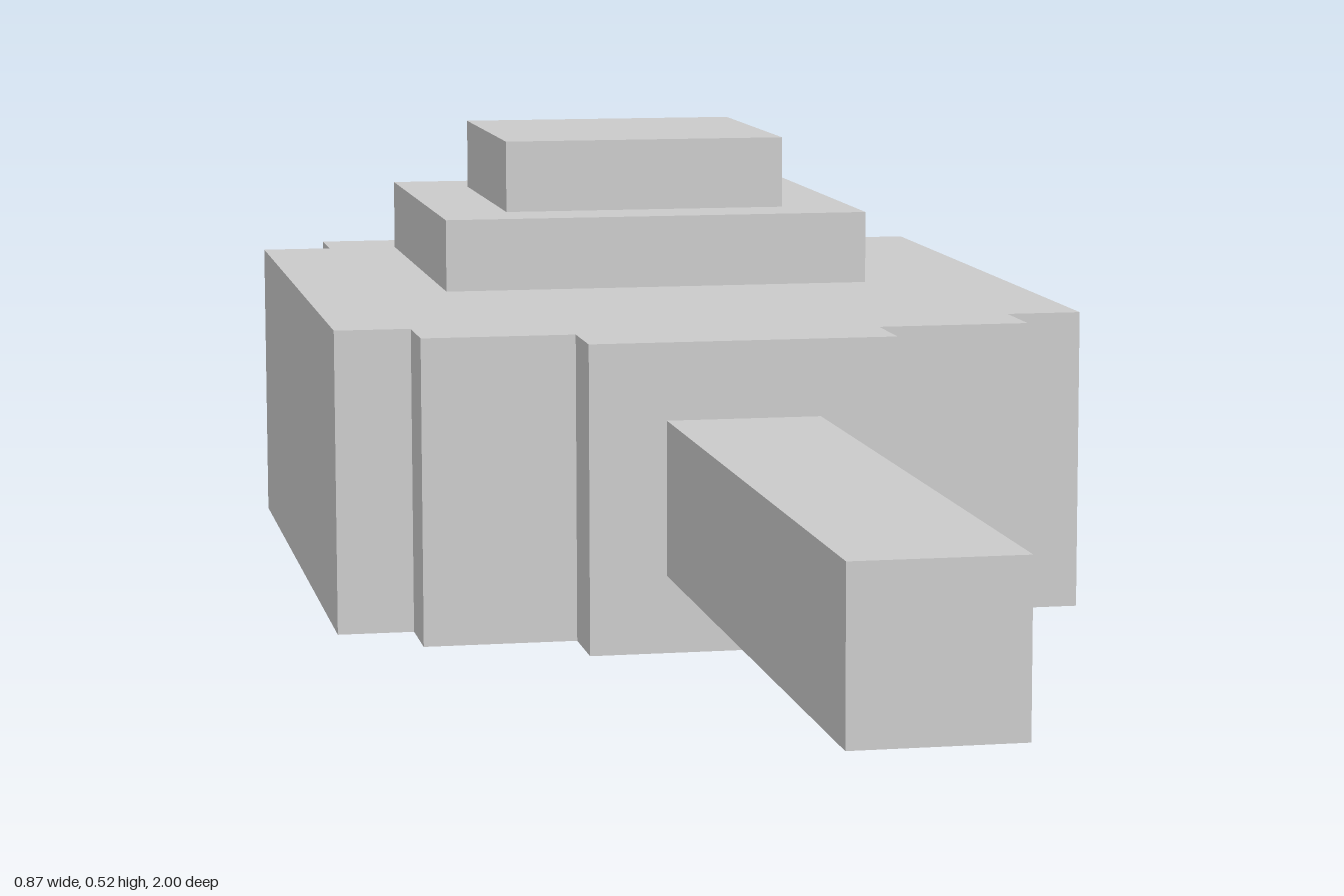
import * as THREE from 'three';

// One block of the blocky grid; the whole model is 23 blocks long
const U = 2 / 23;

export function createModel() {
  const model = new THREE.Group();
  const material = new THREE.MeshStandardMaterial({ color: 0xcccccc, flatShading: true });

  const add = (name, geometry) => {
    const mesh = new THREE.Mesh(geometry, material);
    mesh.name = name;
    model.add(mesh);
    return mesh;
  };

  // Box given by half width, bottom, top, back and front, all in blocks
  const addBlock = (name, halfWidth, y0, y1, z0, z1) => {
    const box = new THREE.BoxGeometry(2 * halfWidth * U, (y1 - y0) * U, (z1 - z0) * U);
    add(name, box).position.set(0, (y0 + y1) / 2 * U, (z0 + z1) / 2 * U);
  };

  // Hull: stepped outline (right half, front to back, as [x, z]) mirrored and extruded upward
  const half = [
    [2, 1.5], [2, 0.5], [4, 0.5], [4, -0.5], [5, -0.5],
    [5, -10.5], [4, -10.5], [4, -11.5],
  ];
  const outline = [...half, ...half.map(([x, z]) => [-x, z]).reverse()];
  const shape = new THREE.Shape(outline.map(([x, z]) => new THREE.Vector2(x * U, -z * U)));
  const hull = new THREE.ExtrudeGeometry(shape, { depth: 4 * U, bevelEnabled: false });
  hull.rotateX(-Math.PI / 2);
  add('hull', hull);

  // Two stacked tiers on the rear of the hull
  addBlock('lowerTier', 3, 4, 5, -10.5, -4.5);
  addBlock('upperTier', 2, 5, 6, -9.5, -5.5);

  // Square bar reaching forward
  addBlock('frontBar', 1, 1, 3, 1.5, 11.5);

  return model;
}
